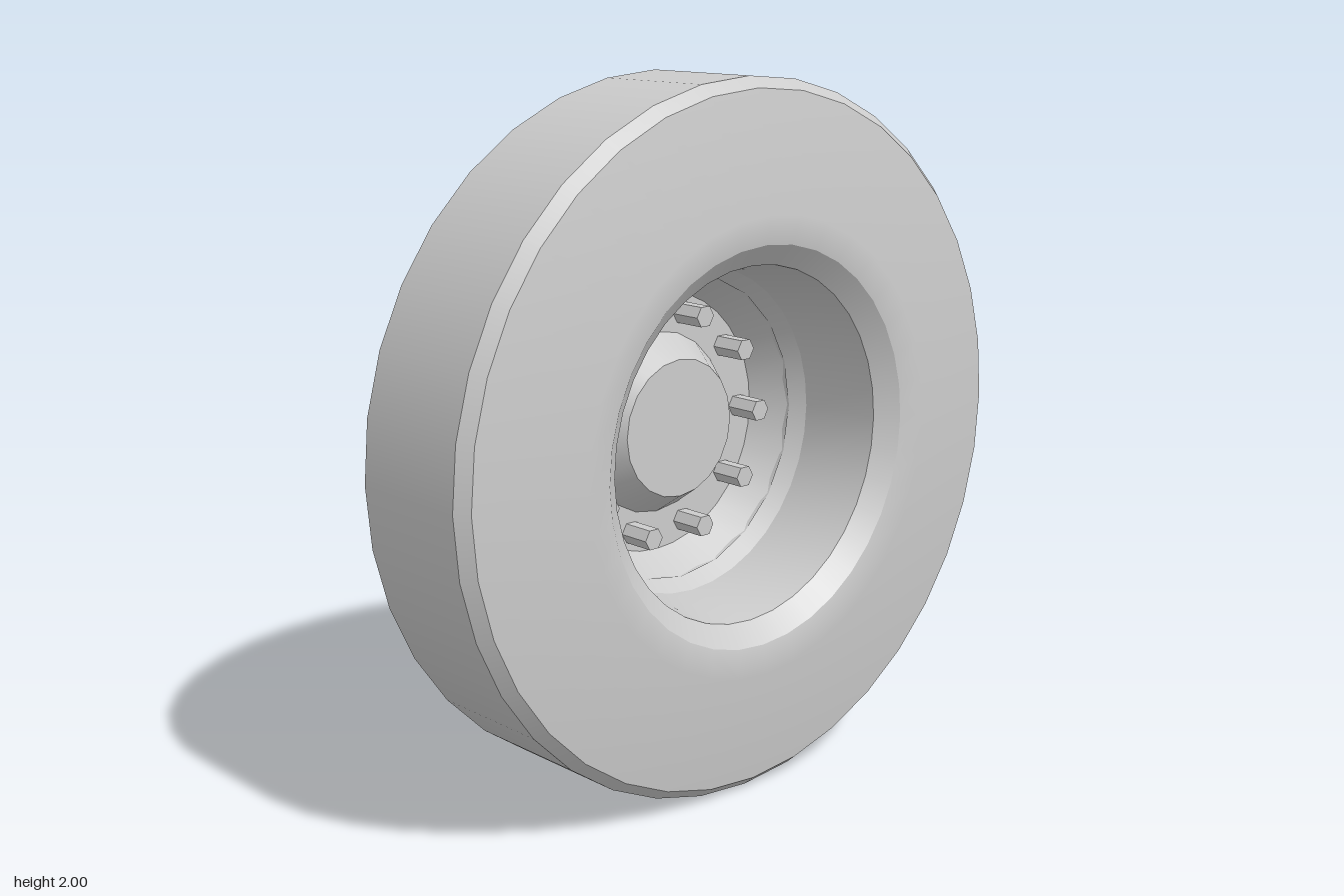
import * as THREE from 'three';

export function createModel() {
  const wheel = new THREE.Group();
  wheel.name = 'wheel';
  const material = new THREE.MeshStandardMaterial({ color: 0xcccccc, side: THREE.DoubleSide });

  // Revolves a [radius, x] profile about the axle; each section is smooth, joints stay sharp
  function revolve(name, sections, sides) {
    const part = new THREE.Group();
    part.name = name;
    for (const section of sections) {
      const points = section.map(([r, x]) => new THREE.Vector2(r, x));
      const mesh = new THREE.Mesh(new THREE.LatheGeometry(points, sides), material);
      mesh.name = name + 'Surface';
      mesh.rotation.z = -Math.PI / 2;
      part.add(mesh);
    }
    wheel.add(part);
  }

  // Tyre: inner sidewall, chamfered tread, outer sidewall
  revolve('tire', [
    [[0.5, -0.17], [0.56, -0.215], [0.64, -0.235], [0.97, -0.185]],
    [[0.97, -0.185], [1, -0.15]],
    [[1, -0.15], [1, 0.22]],
    [[1, 0.22], [0.97, 0.255]],
    [[0.97, 0.255], [0.64, 0.305], [0.56, 0.29]],
  ], 36);

  // Rim: flared lip, barrel, dished cone and flat bolt face
  revolve('rim', [
    [[0.56, 0.29], [0.5, 0.24]],
    [[0.5, 0.24], [0.47, 0], [0.5, -0.17]],
    [[0.47, 0], [0.38, -0.15]],
    [[0.38, -0.15], [0.25, -0.15]],
  ], 36);

  // Hub: tapered boss with a flat cap
  revolve('hub', [
    [[0.265, -0.15], [0.2, -0.05]],
    [[0.2, -0.05], [0, -0.05]],
  ], 20);

  // Brake drum: closed on the inner side, its corners just meeting the dished cone
  revolve('brakeDrum', [
    [[0, -0.31], [0.44, -0.31]],
    [[0.44, -0.31], [0.44, -0.043]],
  ], 20);

  // Ring of ten hexagonal wheel bolts
  const boltGeometry = new THREE.CylinderGeometry(0.033, 0.033, 0.11, 6).toNonIndexed();
  boltGeometry.computeVertexNormals();
  const bolts = new THREE.Group();
  bolts.name = 'wheelBolts';
  for (let i = 0; i < 10; i++) {
    const angle = (i / 10) * Math.PI * 2;
    const bolt = new THREE.Mesh(boltGeometry, material);
    bolt.name = 'wheelBolt';
    bolt.rotation.z = -Math.PI / 2;
    bolt.position.set(-0.105, Math.sin(angle) * 0.325, Math.cos(angle) * 0.325);
    bolts.add(bolt);
  }
  wheel.add(bolts);

  // Stand the wheel on the ground
  for (const part of wheel.children) part.position.y = 1;
  return wheel;
}
